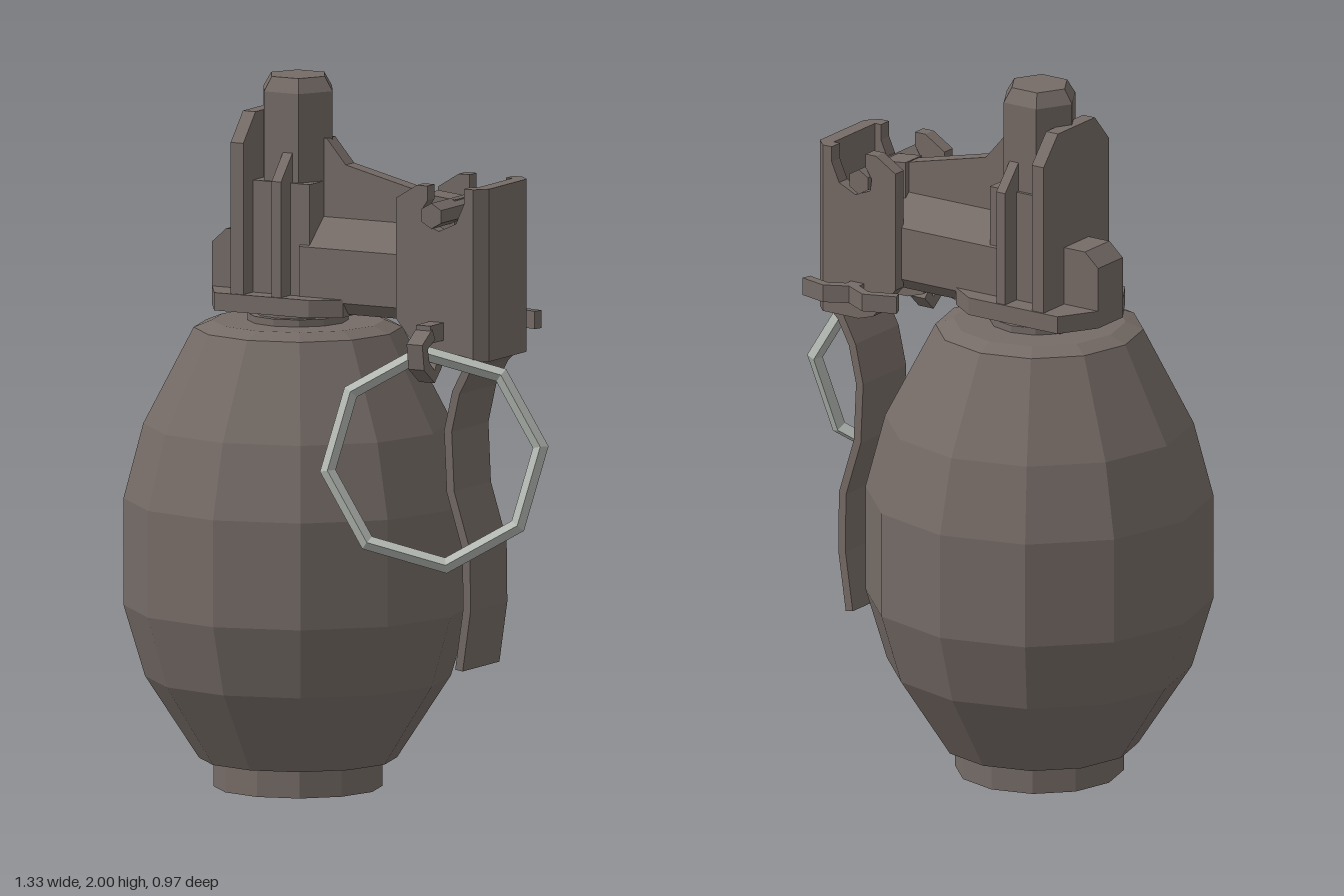
import * as THREE from 'three';

export function createModel() {
  const root = new THREE.Group();
  const iron = new THREE.MeshStandardMaterial({ color: 0x756b66, flatShading: true });
  iron.name = 'dull iron';
  const steel = new THREE.MeshStandardMaterial({ color: 0xb4b9b3, flatShading: true });
  steel.name = 'bright steel';
  const CX = -0.185; // axis of the body

  const add = (name, geo, x = 0, y = 0, z = 0, mat = iron) => {
    const m = new THREE.Mesh(geo, mat);
    m.name = name;
    m.position.set(x, y, z);
    root.add(m);
    return m;
  };
  const extrude = (pts, depth) => new THREE.ExtrudeGeometry(
    new THREE.Shape(pts.map(p => new THREE.Vector2(p[0], p[1]))),
    { depth, bevelEnabled: false });
  // front outline (x, y) spanning z0..z1
  const slab = (name, pts, z0, z1) => add(name, extrude(pts, z1 - z0), 0, 0, z0);
  // plan outline (x, -z) spanning y0..y1
  const plan = (name, pts, y0, y1) => add(name, extrude(pts, y1 - y0).rotateX(-Math.PI / 2), 0, y0, 0);
  // cross-section (z, y) spanning x0..x1; sections are symmetric in z
  const section = (name, pts, x0, x1) => add(name, extrude(pts, x1 - x0).rotateY(Math.PI / 2), x0, 0, 0);
  const mirror = pts => [...pts, ...pts.slice().reverse().map(([a, b]) => [-a, b])];
  const lathe = (name, pts, sides, start = 0) => add(name,
    new THREE.LatheGeometry(pts.map(p => new THREE.Vector2(p[0], p[1])), sides, start), CX);
  // band of constant thickness following a path
  const band = (path, t) => {
    const off = path.map(([x, y], i) => {
      const a = path[Math.max(i - 1, 0)], b = path[Math.min(i + 1, path.length - 1)];
      const dx = b[0] - a[0], dy = b[1] - a[1], l = Math.hypot(dx, dy);
      return [-dy / l * t / 2, dx / l * t / 2];
    });
    return [...path.map((p, i) => [p[0] + off[i][0], p[1] + off[i][1]]),
      ...path.map((p, i) => [p[0] - off[i][0], p[1] - off[i][1]]).reverse()];
  };

  // Faceted body, foot and neck
  lathe('body', [[0, 0], [0.235, 0], [0.235, 0.08], [0.275, 0.08], [0.425, 0.31], [0.485, 0.51],
    [0.485, 0.81], [0.43, 1.02], [0.29, 1.29], [0.24, 1.31], [0, 1.31]], 12);
  lathe('neck', [[0.14, 1.3], [0.14, 1.33], [0.12, 1.33], [0.12, 1.35]], 12);

  // Base plate of the head
  plan('basePlate', [[-0.425, -0.06], [-0.36, -0.165], [-0.06, -0.165], [0.02, -0.11],
    [0.02, 0.11], [-0.06, 0.165], [-0.36, 0.165], [-0.425, 0.06]], 1.345, 1.395);
  slab('rearLug', [[-0.425, 1.38], [-0.3, 1.38], [-0.3, 1.56], [-0.38, 1.56], [-0.425, 1.52]], -0.06, 0.06);

  // Hexagonal post and its collar
  lathe('post', [[0.11, 1.36], [0.11, 1.96], [0.085, 2], [0, 2]], 6, Math.PI / 6);
  section('collar', [[-0.105, 1.38], [0.105, 1.38], [0.105, 1.71], [-0.105, 1.71]], -0.28, -0.09);

  // Upright plate behind the post and ribs beside it
  section('backPlate', mirror([[0.16, 1.36], [0.16, 1.82], [0.09, 1.9]]), -0.31, -0.27);
  for (const s of [1, -1]) {
    const rib = [[0.08, 1.36], [0.16, 1.36], [0.16, 1.72], [0.08, 1.81]].map(([a, b]) => [s * a, b]);
    section('sideRib', rib, -0.18, -0.15);
  }

  // Arm with sloped shoulders and a raised web
  section('arm', mirror([[0.08, 1.35], [0.11, 1.385], [0.11, 1.535], [0.024, 1.61]]), -0.12, 0.25);
  slab('armWeb', [[-0.12, 1.58], [0.25, 1.58], [0.25, 1.695], [-0.02, 1.76], [-0.08, 1.83], [-0.12, 1.83]], -0.024, 0.024);

  // Channel-shaped lever head with notched cheeks
  plan('leverHead', [[0.42, -0.14], [0.45, -0.14], [0.482, -0.108], [0.482, 0.108],
    [0.45, 0.14], [0.42, 0.14], [0.42, 0.1], [0.44, 0.1], [0.44, -0.1], [0.42, -0.1]], 1.255, 1.74);
  const cheek = [[0.205, 1.36], [0.28, 1.27], [0.33, 1.255], [0.44, 1.255], [0.44, 1.74], [0.395, 1.64],
    [0.34, 1.615], [0.29, 1.635], [0.285, 1.67], [0.305, 1.7], [0.305, 1.74], [0.27, 1.74], [0.205, 1.7]];
  slab('leftCheek', cheek, 0.1, 0.14);
  slab('rightCheek', cheek, -0.14, -0.1);
  add('hingePin', new THREE.CylinderGeometry(0.036, 0.036, 0.3, 6).rotateX(Math.PI / 2), 0.322, 1.658, 0);
  slab('hingeBlock', [[0.24, 1.56], [0.335, 1.6], [0.335, 1.69], [0.24, 1.7]], -0.04, 0.04);

  // Curved lever blade
  slab('leverBlade', band([[0.465, 1.28], [0.415, 1.235], [0.375, 1.16], [0.35, 1.05], [0.358, 0.88],
    [0.408, 0.72], [0.41, 0.55], [0.385, 0.38]], 0.024), -0.105, 0.105);

  // Split pin: straight shank, hooked eye, splayed ends
  add('splitPin', new THREE.BoxGeometry(0.045, 0.05, 0.39), 0.333, 1.335, 0.02);
  const eyeShape = band([[-0.2, 1.335], [-0.25, 1.305], [-0.24, 1.25], [-0.195, 1.215], [-0.165, 1.25]], 0.035);
  add('pinEye', extrude(eyeShape, 0.05).rotateY(Math.PI / 2), 0.308, 0, 0);
  plan('pinEndOuter', band([[0.333, 0.165], [0.4, 0.2], [0.478, 0.18]], 0.028), 1.31, 1.36);
  plan('pinEndInner', band([[0.175, 0.172], [0.262, 0.205], [0.333, 0.165]], 0.028), 1.31, 1.36);

  // Eight-sided pull ring, tilted
  const n = new THREE.Vector3(0.48, 0.2, 1).normalize();
  const u = new THREE.Vector3(1, 0, -0.48).normalize();
  const v = new THREE.Vector3().crossVectors(n, u);
  const ring = add('pullRing', new THREE.TorusGeometry(0.298, 0.022, 4, 8).rotateZ(0.12), 0.375, 0.99, 0.228, steel);
  ring.quaternion.setFromRotationMatrix(new THREE.Matrix4().makeBasis(u, v, n));

  return root;
}
